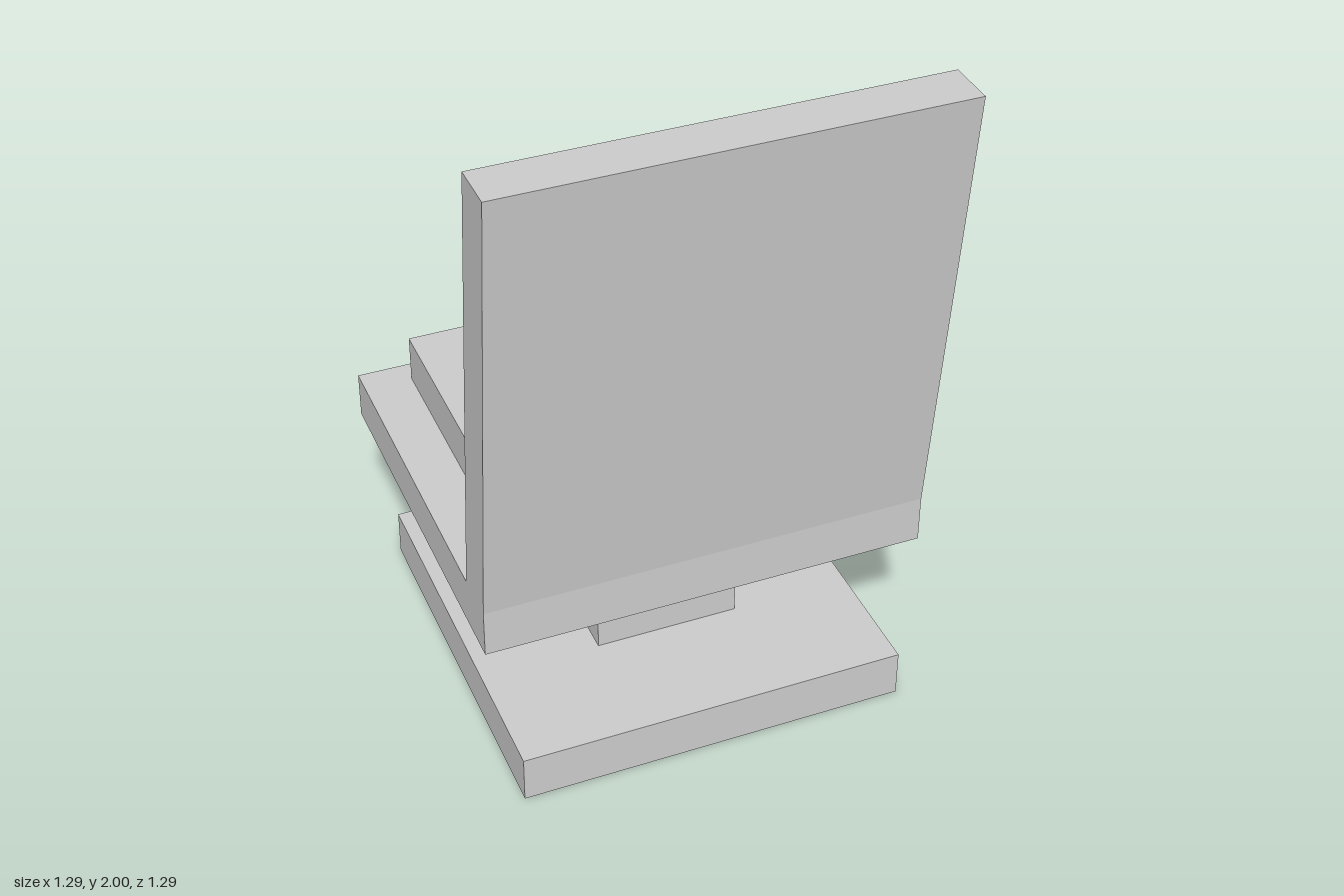
import * as THREE from 'three';

const material = new THREE.MeshStandardMaterial({ color: 0xcccccc, flatShading: true });

function addMesh(group, name, geometry) {
  const mesh = new THREE.Mesh(geometry, material);
  mesh.name = name;
  group.add(mesh);
  return mesh;
}

// Extrude a side profile of [z, y] points across the width from x0 to x1.
function sideExtrude(points, x0, x1) {
  const shape = new THREE.Shape(points.map(([z, y]) => new THREE.Vector2(-z, y)));
  const geometry = new THREE.ExtrudeGeometry(shape, { depth: x1 - x0, bevelEnabled: false });
  return geometry.rotateY(Math.PI / 2).translate(x0, 0, 0);
}

function block(half, y0, y1) {
  return new THREE.BoxGeometry(half * 2, y1 - y0, half * 2).translate(0, (y0 + y1) / 2, 0);
}

export function createModel() {
  const group = new THREE.Group();
  group.name = 'chair';
  const E = 0.643; // half width of the shell, also the height of its seat

  // Pedestal
  addMesh(group, 'base', block(0.571, 0, 0.143));
  addMesh(group, 'column', block(0.214, 0.143, 0.5));

  // L-shaped shell: seat slab and leaning backrest
  const back = [[0.36, E], [0.5, 2], [E, 2], [0.5, E], [0.5, 0.5], [-E, 0.5]];
  addMesh(group, 'shell', sideExtrude([[-E, E], ...back], -E, 0.5));

  // Outer strip of the shell, its front corner chipped to a point
  const strip = sideExtrude([[-E, 0.571], [-0.571, E], ...back], 0.5, E);
  const pos = strip.attributes.position;
  for (let i = 0; i < pos.count; i++) {
    if (pos.getX(i) > 0.6 && pos.getZ(i) < -0.5 && pos.getY(i) > 0.55) pos.setXYZ(i, E, E, -E);
  }
  strip.computeVertexNormals();
  addMesh(group, 'shellChippedSide', strip);

  // Seat and back cushion in one stepped profile
  addMesh(group, 'cushion', sideExtrude([
    [-0.571, E], [-0.571, 0.787], [0.214, 0.787], [0.214, 0.93], [0.3, 0.93],
    [0.43, 1.86], [0.486, 1.86], [0.383, 0.86], [0.36, 0.86], [0.36, 0.72],
    [0.286, 0.72], [0.286, E],
  ], -0.5, 0.5));

  // Small pointed tab at the cushion's corner
  const a = [0.5, E, -0.571], b = [0.5, E, -0.52], c = [0.5, 0.69, -0.571], tip = [0.56, 0.67, -0.573];
  const tab = new THREE.BufferGeometry();
  tab.setAttribute('position', new THREE.Float32BufferAttribute(
    [a, tip, b, b, tip, c, c, tip, a].flat(), 3));
  tab.computeVertexNormals();
  addMesh(group, 'cushionTab', tab);

  return group;
}
